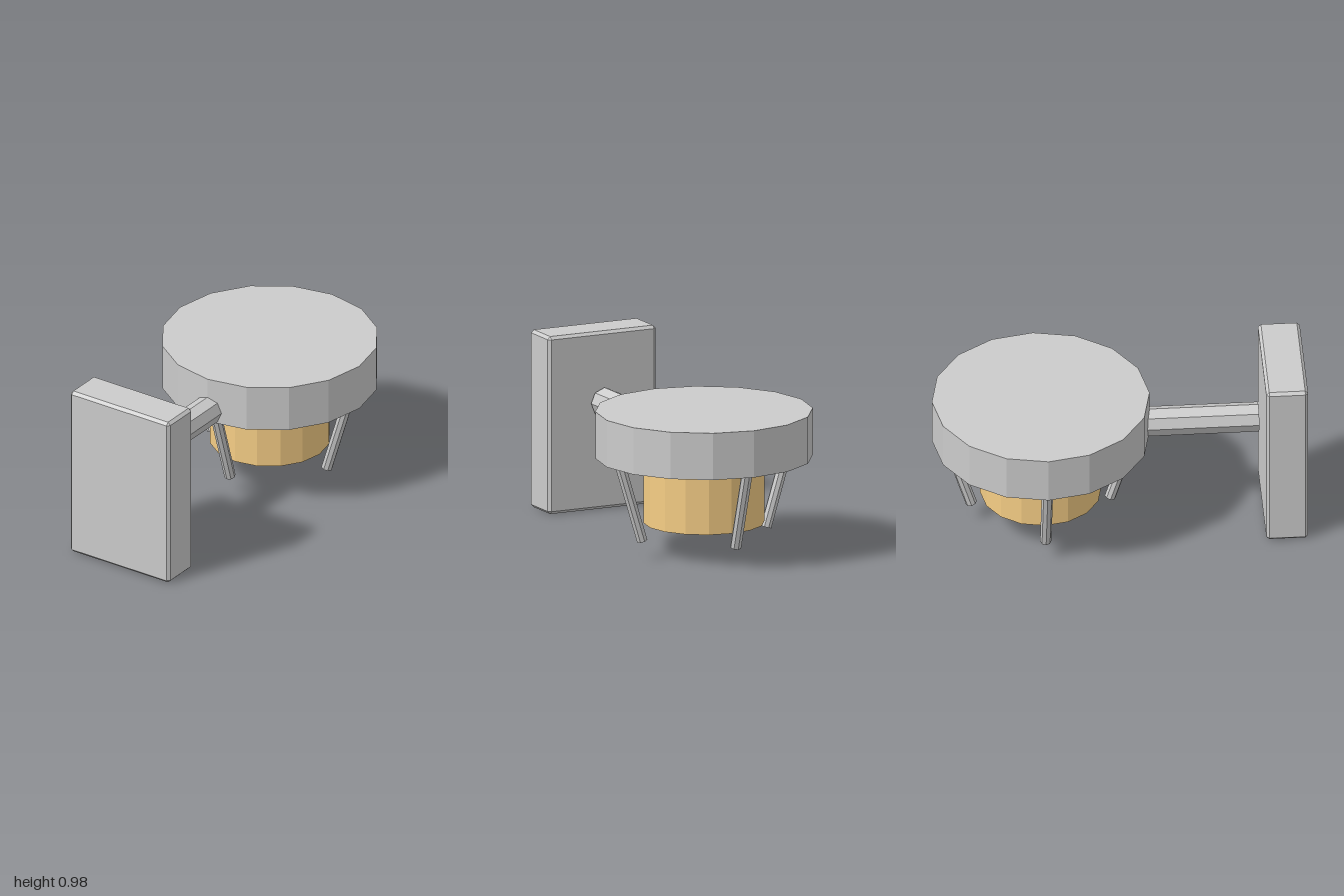
import * as THREE from 'three';
import { ConvexGeometry } from 'three/addons/geometries/ConvexGeometry.js';

const grey = new THREE.MeshStandardMaterial({ color: 0xcccccc, flatShading: true });
const amber = new THREE.MeshStandardMaterial({ color: 0xf5cd85, flatShading: true });

function add(parent, name, geometry, x, y, z, material = grey) {
  const mesh = new THREE.Mesh(geometry, material);
  mesh.name = name;
  mesh.position.set(x, y, z);
  parent.add(mesh);
  return mesh;
}

// Box with a single flat chamfer along every edge
function chamferBox(w, h, d, c) {
  const points = [];
  for (const sx of [-1, 1]) for (const sy of [-1, 1]) for (const sz of [-1, 1]) {
    for (let axis = 0; axis < 3; axis++) {
      const inset = [c, c, c];
      inset[axis] = 0;
      points.push(new THREE.Vector3(
        sx * (w / 2 - inset[0]), sy * (h / 2 - inset[1]), sz * (d / 2 - inset[2])));
    }
  }
  return new ConvexGeometry(points);
}

export function createModel() {
  const model = new THREE.Group();
  model.name = 'wallLamp';
  const lampZ = -0.415;

  // Mounting plate at the front
  add(model, 'wallPlate', chamferBox(0.65, 0.975, 0.225, 0.016), 0, 0.4875, 0.8875);

  // Octagonal arm running into the middle of the cap
  const armLength = 1.17;
  const arm = add(model, 'arm', new THREE.CylinderGeometry(0.081, 0.081, armLength, 8),
    0, 0.59, 0.755 - armLength / 2);
  arm.rotation.x = Math.PI / 2;

  // Cap and the glowing lens below it
  add(model, 'cap', new THREE.CylinderGeometry(0.585, 0.585, 0.257, 16), 0, 0.6525, lampZ);
  add(model, 'lens', new THREE.CylinderGeometry(0.325, 0.325, 0.325, 16), 0, 0.3275, lampZ, amber);

  // Four guard rods leaning inwards, their tops sunk into the cap
  const tilt = 0.3, rodLength = 0.48;
  for (let i = 0; i < 4; i++) {
    const holder = new THREE.Group();
    holder.name = 'guardRod' + (i + 1);
    holder.position.z = lampZ;
    holder.rotation.y = i * Math.PI / 2;
    const rod = add(holder, 'rod', new THREE.CylinderGeometry(0.0305, 0.0305, rodLength, 8),
      0.373 + Math.sin(tilt) * rodLength / 2, 0.1 + Math.cos(tilt) * rodLength / 2, 0);
    rod.rotation.z = -tilt;
    model.add(holder);
  }
  return model;
}
